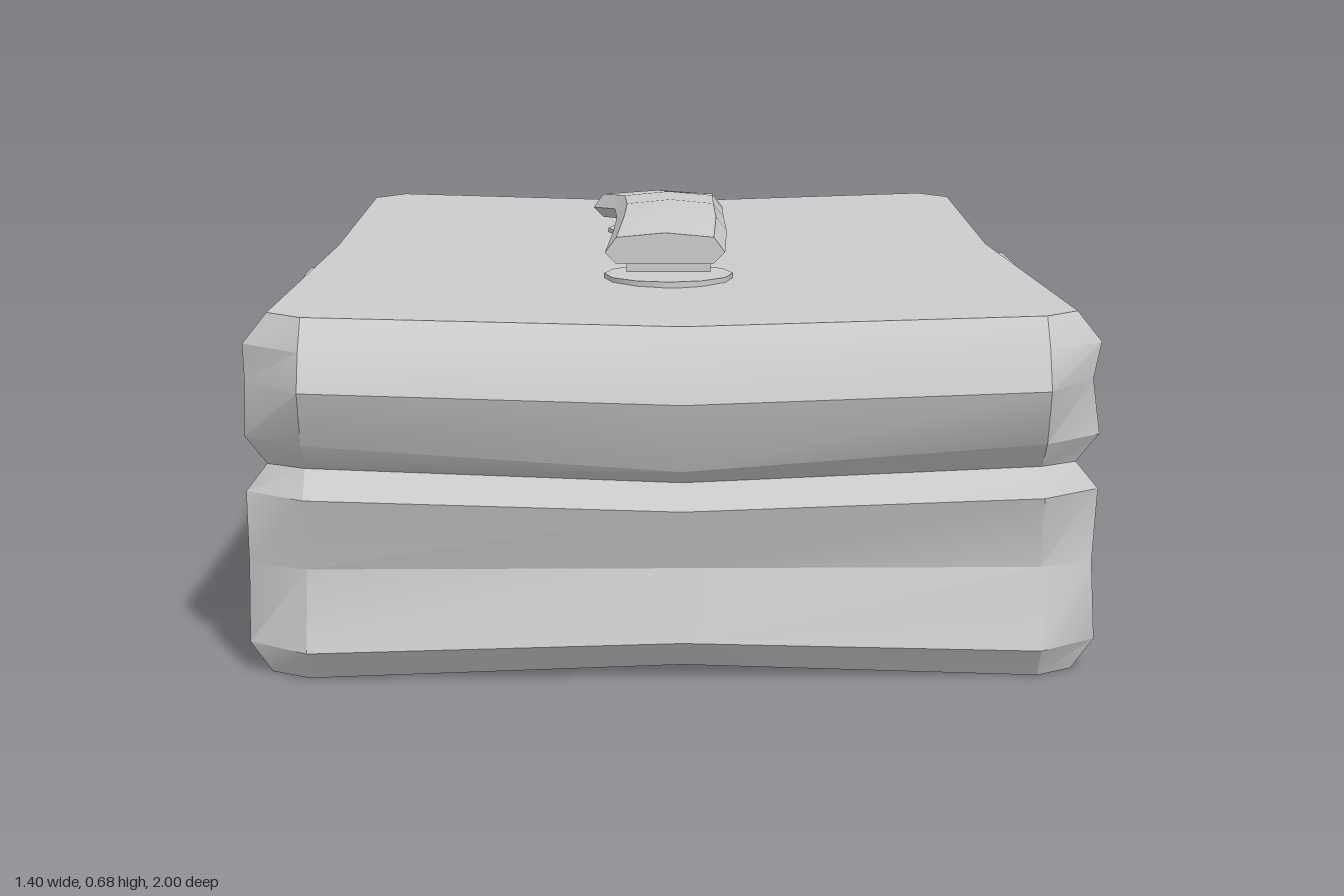
import * as THREE from 'three';
import { toCreasedNormals } from 'three/addons/utils/BufferGeometryUtils.js';

const material = new THREE.MeshStandardMaterial({ color: 0xcccccc });

function addMesh(parent, name, geometry) {
  const mesh = new THREE.Mesh(geometry, material);
  mesh.name = name;
  parent.add(mesh);
  return mesh;
}

// Skins rings of points; 'hub' lists [hub, from, to] index fans used for the end caps.
function loft(rings, fans, crease = 0.5) {
  const n = rings[0].length, index = [];
  for (let r = 0; r < rings.length - 1; r++) {
    for (let i = 0; i < n; i++) {
      const a = r * n + i, b = r * n + (i + 1) % n;
      index.push(a, b, b + n, a, b + n, a + n);
    }
  }
  const top = (rings.length - 1) * n;
  for (const [hub, from, to] of fans) {
    for (let i = from; i < to; i++) {
      const p = i % n, q = (i + 1) % n;
      if (p === hub || q === hub) continue;
      index.push(top + hub, top + p, top + q, hub, q, p);
    }
  }
  const g = new THREE.BufferGeometry();
  g.setAttribute('position', new THREE.Float32BufferAttribute(rings.flat(2), 3));
  g.setIndex(index);
  return toCreasedNormals(g, crease);
}

// Chamfered outline of the case, pinched halfway along its sides.
function caseRing([y, midY, left, right, front, back]) {
  const xl = -0.6, xr = 0.575, zc = 0.88;
  return [
    [0, midY, front], [xr, y, front], [right, y, zc],
    [right - 0.03, y, 0],
    [right, y, -zc], [xr, y, back], [0, midY, back + 0.02], [xl, y, back],
    [left, y, -zc], [left + 0.015, y, 0],
    [left, y, zc], [xl, y, front],
  ];
}
// Right half fans from the right waist, left half from the left waist.
const caseFans = [[3, 6, 12], [3, 0, 6]];
caseFans[0] = [9, 6, 12];

function buildShell(parent, name, rows) {
  const rings = rows.map(caseRing);
  const shell = addMesh(parent, name, loft(rings, caseFans));
  // Strip between the two cap fans
  const pos = [];
  for (const [ring, up] of [[rings[0], false], [rings[rings.length - 1], true]]) {
    const [f, r, b, l] = [ring[0], ring[3], ring[6], ring[9]];
    const tris = up ? [f, r, b, f, b, l] : [f, b, r, f, l, b];
    pos.push(...tris.flat());
  }
  const cap = new THREE.BufferGeometry();
  cap.setAttribute('position', new THREE.Float32BufferAttribute(pos, 3));
  cap.computeVertexNormals();
  addMesh(shell, name + 'Panel', cap);
}

function buildHandle(parent) {
  const handle = new THREE.Group();
  handle.name = 'handle';
  parent.add(handle);

  // Arched grip: z, y lift, left edge, right edge
  const stations = [
    [0.405, 0, -0.128, 0.085], [0.2, 0.014, -0.115, 0.095], [0.03, 0.02, -0.11, 0.095],
    [-0.2, 0.012, -0.115, 0.1], [-0.345, 0, -0.16, 0.105],
  ];
  const rings = stations.map(([z, lift, l, r]) => [
    [l + 0.02, 0.605], [r - 0.02, 0.605], [r, 0.625], [r - 0.02, 0.652],
    [(l + r) / 2, 0.66], [l + 0.02, 0.652], [l, 0.625],
  ].map(([x, y]) => [x, y + lift, z]));
  addMesh(handle, 'grip', loft(rings.reverse(), [[0, 0, 7]]));

  // Mounting plates and posts at both ends
  for (const [plateZ, postZ] of [[0.38, 0.33], [-0.32, -0.26]]) {
    const plate = addMesh(handle, 'mountingPlate',
      toCreasedNormals(new THREE.CylinderGeometry(1, 1, 0.02, 12), 0.6));
    plate.scale.set(0.115, 1, 0.12);
    plate.position.set(-0.015, 0.575, plateZ);
    const post = addMesh(handle, 'post', new THREE.BoxGeometry(0.15, 0.06, 0.06));
    post.position.set(-0.015, 0.595, postZ);
  }
}

export function createModel() {
  const model = new THREE.Group();
  model.name = 'suitcase';

  // Rows: y at corners, y at middle, left, right, front, back
  const seam = [0.345, 0.32, -0.665, 0.635, 0.92, -0.95];
  buildShell(model, 'lowerShell', [
    [0, 0.02, -0.665, 0.635, 0.92, -0.955],
    [0.05, 0.065, -0.7, 0.672, 0.955, -0.99],
    [0.18, 0.18, -0.698, 0.665, 0.92, -0.968],
    [0.3, 0.28, -0.7, 0.672, 0.955, -0.985],
    seam,
  ]);
  buildShell(model, 'lid', [
    seam,
    [0.39, 0.347, -0.7, 0.672, 0.965, -0.995],
    [0.48, 0.46, -0.698, 0.66, 1, -0.975],
    [0.54, 0.525, -0.7, 0.672, 0.975, -1],
    [0.59, 0.574, -0.66, 0.632, 0.935, -0.962],
  ]);

  buildHandle(model);

  // Waisted clasps bridging the seam on the left side
  const profile = new THREE.Shape([
    [0.7, 0.515], [0.635, 0.49], [0.6, 0.36], [0.635, 0.24], [0.7, 0.215], [0.662, 0.36],
  ].map(([x, y]) => new THREE.Vector2(x, y)));
  for (const z of [0.3, -0.47]) {
    const clasp = addMesh(model, 'clasp',
      new THREE.ExtrudeGeometry(profile, { depth: 0.19, bevelEnabled: false }));
    clasp.position.z = z;
  }

  // Octagonal lock disc on the opposite side
  const disc = new THREE.CylinderGeometry(1, 1, 0.06, 8);
  disc.rotateY(Math.PI / 8).rotateZ(Math.PI / 2).scale(1, 0.1, 0.16);
  const lock = addMesh(model, 'lockDisc', toCreasedNormals(disc, 0.5));
  lock.position.set(-0.672, 0.45, 0.03);

  return model;
}
